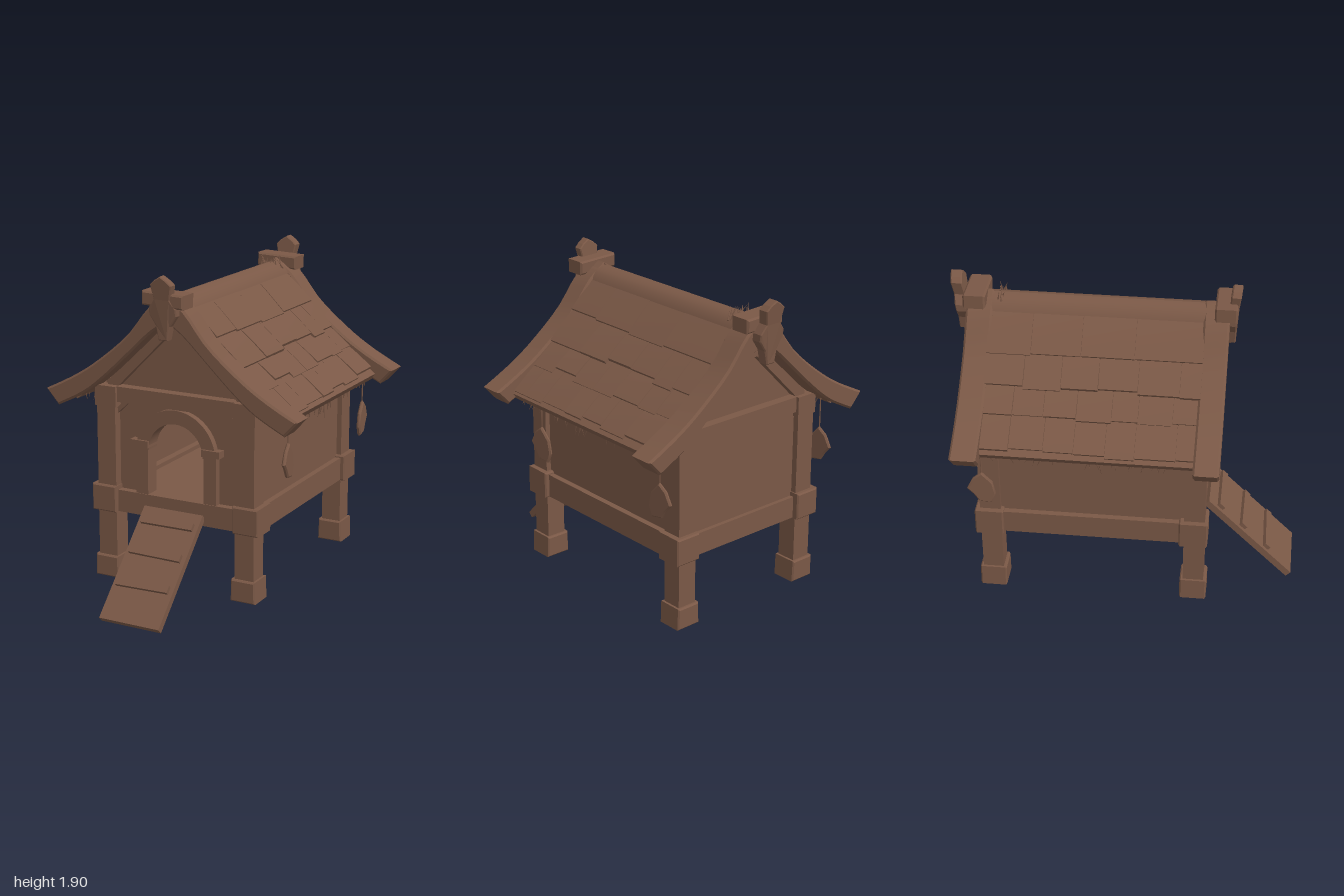
import * as THREE from 'three';
import { toCreasedNormals } from 'three/addons/utils/BufferGeometryUtils.js';

export function createModel() {
  const model = new THREE.Group();
  const wood = new THREE.MeshStandardMaterial({ color: 0x7a5846, side: THREE.DoubleSide });
  wood.name = 'brown wood';

  let seed = 7;
  const rnd = (a, b) => {
    seed = (seed * 16807) % 2147483647;
    return a + (b - a) * (seed / 2147483647);
  };
  const add = (name, geo, parent = model) => {
    const m = new THREE.Mesh(geo, wood);
    m.name = name;
    parent.add(m);
    return m;
  };
  // box given by its limits
  const box = (name, x0, x1, y0, y1, z0, z1, parent) => {
    const m = add(name, new THREE.BoxGeometry(x1 - x0, y1 - y0, z1 - z0), parent);
    m.position.set((x0 + x1) / 2, (y0 + y1) / 2, (z0 + z1) / 2);
    return m;
  };
  const polygon = pts => new THREE.Shape(pts.map(p => new THREE.Vector2(...p)));
  // shape or outline in x and y, extruded from z0 to z1
  const slab = (name, outline, z0, z1, parent, bevel = 0) => {
    const shape = Array.isArray(outline) ? polygon(outline) : outline;
    const geo = new THREE.ExtrudeGeometry(shape, {
      depth: z1 - z0 - 2 * bevel, bevelEnabled: bevel > 0, bevelSize: bevel, bevelOffset: -bevel,
      bevelThickness: bevel, bevelSegments: 1, curveSegments: 12,
    });
    geo.translate(0, 0, z0 + bevel);
    return add(name, toCreasedNormals(geo, 0.5), parent);
  };
  const curve = (pts, n) =>
    new THREE.SplineCurve(pts.map(p => new THREE.Vector2(...p))).getPoints(n).map(p => [p.x, p.y]);
  const mirror = pts => pts.map(([x, y]) => [-x, y]).reverse();

  // corner posts with feet, collars and heads
  for (const s of [-1, 1]) {
    for (const zc of [0.43, -0.75]) {
      const post = new THREE.Group();
      post.name = 'cornerPost';
      model.add(post);
      const x = s * 0.445;
      box('postShaft', x - 0.06, x + 0.06, 0.15, 1.22, zc - 0.06, zc + 0.06, post);
      slab('postFoot', [[x - 0.078, 0.07], [x + 0.078, 0.07], [x + 0.074, 0.2], [x - 0.074, 0.2]],
        zc - 0.078, zc + 0.078, post, 0.008);
      const c = x + s * 0.013, z = zc - 0.005;
      slab('postCollar', [[c - 0.08, 0.47], [c + 0.08, 0.47], [c + 0.08, 0.63], [c - 0.08, 0.63]],
        z - 0.083, z + 0.083, post, 0.008);
      box('postHead', x - 0.068, x + 0.068, 1.1, 1.22, zc - 0.067, zc + 0.067, post);
    }
    box('sideWall', s * 0.46 - 0.015, s * 0.46 + 0.015, 0.55, 1.25, -0.75, 0.43);
    box('sideBeam', s * 0.455 - 0.055, s * 0.455 + 0.055, 0.475, 0.615, -0.75, 0.43);
  }

  // floor, end beams and back wall
  box('floor', -0.42, 0.42, 0.49, 0.59, -0.75, 0.43);
  box('frontSill', -0.42, 0.42, 0.475, 0.605, 0.38, 0.48);
  box('backSill', -0.42, 0.42, 0.475, 0.605, -0.8, -0.7);
  box('backWall', -0.44, 0.44, 0.55, 1.2, -0.775, -0.745);
  box('frontTopBeam', -0.45, 0.45, 1.13, 1.22, 0.38, 0.48);
  box('backTopBeam', -0.45, 0.45, 1.13, 1.22, -0.8, -0.7);

  // front wall with arched doorway
  const frontWall = polygon([[-0.44, 0.55], [0.44, 0.55], [0.44, 1.2], [-0.44, 1.2]]);
  const opening = new THREE.Path();
  opening.moveTo(-0.18, 0.6);
  opening.lineTo(0.18, 0.6);
  opening.absarc(0, 0.87, 0.18, 0, Math.PI, false);
  frontWall.holes.push(opening);
  slab('frontWall', frontWall, 0.405, 0.435);

  // door frame
  const arch = new THREE.Shape();
  arch.absarc(0, 0.87, 0.255, 0, Math.PI, false);
  arch.absarc(0, 0.87, 0.175, Math.PI, 0, true);
  slab('doorArch', arch, 0.38, 0.475);
  for (const s of [-1, 1]) {
    box('doorJamb', s * 0.22 - 0.04, s * 0.22 + 0.04, 0.59, 0.89, 0.38, 0.475);
    box('doorCapital', s * 0.23 - 0.058, s * 0.23 + 0.058, 0.885, 0.925, 0.38, 0.49);
    slab('cornerBrace', [[s * 0.3, 1.14], [s * 0.335, 1.14], [s * 0.4, 1.08], [s * 0.4, 1.045]], 0.43, 0.46);
  }

  // gables with inner rafters
  const gable = [[0.46, 1.19], [0.46, 1.28], [0.26, 1.48], [0, 1.7]];
  for (const [z0, z1, r0, r1] of [[0.385, 0.415, 0.41, 0.455], [-0.745, -0.715, -0.79, -0.74]]) {
    slab('gableWall', [...gable, ...mirror(gable).slice(1)], z0, z1);
    for (const s of [-1, 1]) {
      slab('gableRafter', [[s * 0.4, 1.2], [s * 0.45, 1.2], [s * 0.45, 1.24], [s * 0.08, 1.59], [s * 0.07, 1.53]], r0, r1);
    }
    box('gableTie', -0.085, 0.085, 1.53, 1.6, r0, r1);
  }

  // roof deck
  const deckTop = curve([[0.69, 1.15], [0.52, 1.28], [0.4, 1.385], [0.26, 1.525], [0.12, 1.68], [0, 1.77]], 14);
  const deckUnder = curve([[0, 1.7], [0.12, 1.61], [0.26, 1.46], [0.4, 1.325], [0.52, 1.22], [0.66, 1.11]], 14);
  for (const s of [-1, 1]) {
    slab('roofDeck', [...deckTop, ...deckUnder].map(([x, y]) => [s * x, y]), -0.8, 0.46);
  }

  // overlapping shingle courses
  const courses = [
    [[0.05, 1.755], [0.255, 1.55]], [[0.23, 1.565], [0.4, 1.415]],
    [[0.375, 1.42], [0.525, 1.3]], [[0.49, 1.32], [0.67, 1.175]],
  ];
  for (const s of [-1, 1]) {
    const shingles = new THREE.Group();
    shingles.name = 'shingles';
    model.add(shingles);
    courses.forEach(([[x0, y0], [x1, y1]], row) => {
      let z = -0.77;
      while (z < 0.43) {
        let end = z + (row ? rnd(0.14, 0.24) : rnd(0.25, 0.4));
        if (end > 0.36) end = 0.44;
        const d = rnd(-0.012, 0.014), lift = rnd(0, 0.012);
        const xe = x1 + d, ye = y1 - d * 0.8;
        const bulge = [(x0 + xe) / 2, (y0 + ye) / 2 + 0.004 + lift / 2];
        slab('shingle', [[x0, y0], bulge, [xe, ye + lift], [xe - 0.025, ye - 0.035], [x0 - 0.02, y0 - 0.03]]
          .map(([x, y]) => [s * x, y]), z, end - 0.003, shingles);
        z = end;
      }
    });
  }

  // rounded ridge cap
  const cap = curve([[0.115, 1.67], [0.09, 1.725], [0.05, 1.768], [0, 1.785]], 6);
  slab('ridgeCap', [...cap, ...mirror(cap).slice(1)], -0.82, 0.5);

  // curved bargeboards
  const boardTop = curve([[0.8, 1.18], [0.62, 1.272], [0.46, 1.375], [0.26, 1.54], [0.12, 1.71], [0, 1.8]], 16);
  const boardUnder = curve([[0, 1.64], [0.1, 1.575], [0.26, 1.425], [0.4, 1.295], [0.54, 1.185], [0.72, 1.09]], 16);
  for (const [z0, z1] of [[0.425, 0.57], [-0.905, -0.755]]) {
    for (const s of [-1, 1]) {
      slab('bargeboard', [...boardTop, ...boardUnder].map(([x, y]) => [s * x, y]), z0, z1, model, 0.012);
    }
  }

  // finials leaning outward, with cross blocks
  const half = [[0.028, 1.55], [0.045, 1.63], [0.085, 1.69], [0.085, 1.73], [0.05, 1.78], [0.066, 1.86], [0.04, 1.885], [0, 1.91]];
  for (const [z0, z1, dir, lean] of [[0.55, 0.605, 1, 0.03], [-0.965, -0.9, -1, 0.035]]) {
    const f = slab('finial', [...half, ...mirror(half).slice(1)], z0, z1, model, 0.006);
    const p = f.geometry.attributes.position;
    for (let i = 0; i < p.count; i++) {
      p.setZ(i, p.getZ(i) + dir * lean * Math.max(0, (p.getY(i) - 1.68) / 0.23));
    }
    f.geometry.computeVertexNormals();
    const c = dir > 0 ? 0.55 : -0.855;
    slab('finialCrossBlock', [[-0.13, 1.74], [0.13, 1.73], [0.132, 1.81], [-0.128, 1.82]], c - 0.063, c + 0.063, model, 0.01);
  }

  // ramp with cleats
  const ramp = new THREE.Group();
  ramp.name = 'ramp';
  ramp.position.set(-0.003, 0.275, 0.737);
  ramp.rotation.x = Math.PI / 4;
  model.add(ramp);
  box('rampBoard', -0.19, 0.19, -0.02, 0.02, -0.36, 0.355, ramp);
  [-0.27, -0.075, 0.125].forEach((z, i) => {
    const cleat = box('rampCleat', -0.165, 0.165, 0.015, 0.043, z - 0.022, z + 0.022, ramp);
    cleat.rotation.y = [0.01, -0.01, 0.025][i];
  });

  // straw tufts under the eaves and on the ridge
  const straw = (x, y, z, length, tiltX, tiltZ) => {
    const m = add('straw', new THREE.ConeGeometry(0.006, length, 4));
    m.position.set(x, y, z);
    m.rotation.set(tiltX, 0, tiltZ);
  };
  for (const s of [-1, 1]) {
    for (let i = 0; i < 60; i++) {
      const z = rnd(-0.72, 0.4);
      const len = rnd(0.04, 0.08) + 0.04 * Math.exp(-Math.pow((z + 0.1) / 0.1, 2));
      straw(s * rnd(0.59, 0.66), 1.14 - len / 2, z, len, Math.PI + rnd(-0.4, 0.4), rnd(-0.3, 0.3));
    }
  }
  for (let i = 0; i < 14; i++) {
    straw(rnd(-0.07, 0.07), 1.785, -0.71 + rnd(-0.02, 0.02), rnd(0.05, 0.12), rnd(-0.5, 0.5), rnd(-0.6, 0.6));
  }

  // hanging leaves on cords
  const leaf = [[0, 0.97], [0.05, 0.93], [0.085, 0.86], [0.05, 0.82], [0.02, 0.77], [-0.05, 0.76], [-0.075, 0.82], [-0.06, 0.9]];
  for (const [x, z, flip] of [[0.605, 0.27, -1], [0.605, -0.765, 1], [-0.61, -0.765, 1]]) {
    const charm = new THREE.Group();
    charm.name = 'hangingLeaf';
    charm.position.set(x, 0, z);
    model.add(charm);
    const blade = slab('leafBlade', leaf.map(([a, b]) => [a * flip, b]), -0.012, 0.012, charm, 0.008);
    blade.rotation.y = Math.PI / 2 + 0.12;
    const cord = add('cord', new THREE.CylinderGeometry(0.004, 0.004, 0.22, 5), charm);
    cord.position.y = 1.06;
  }
  return model;
}
